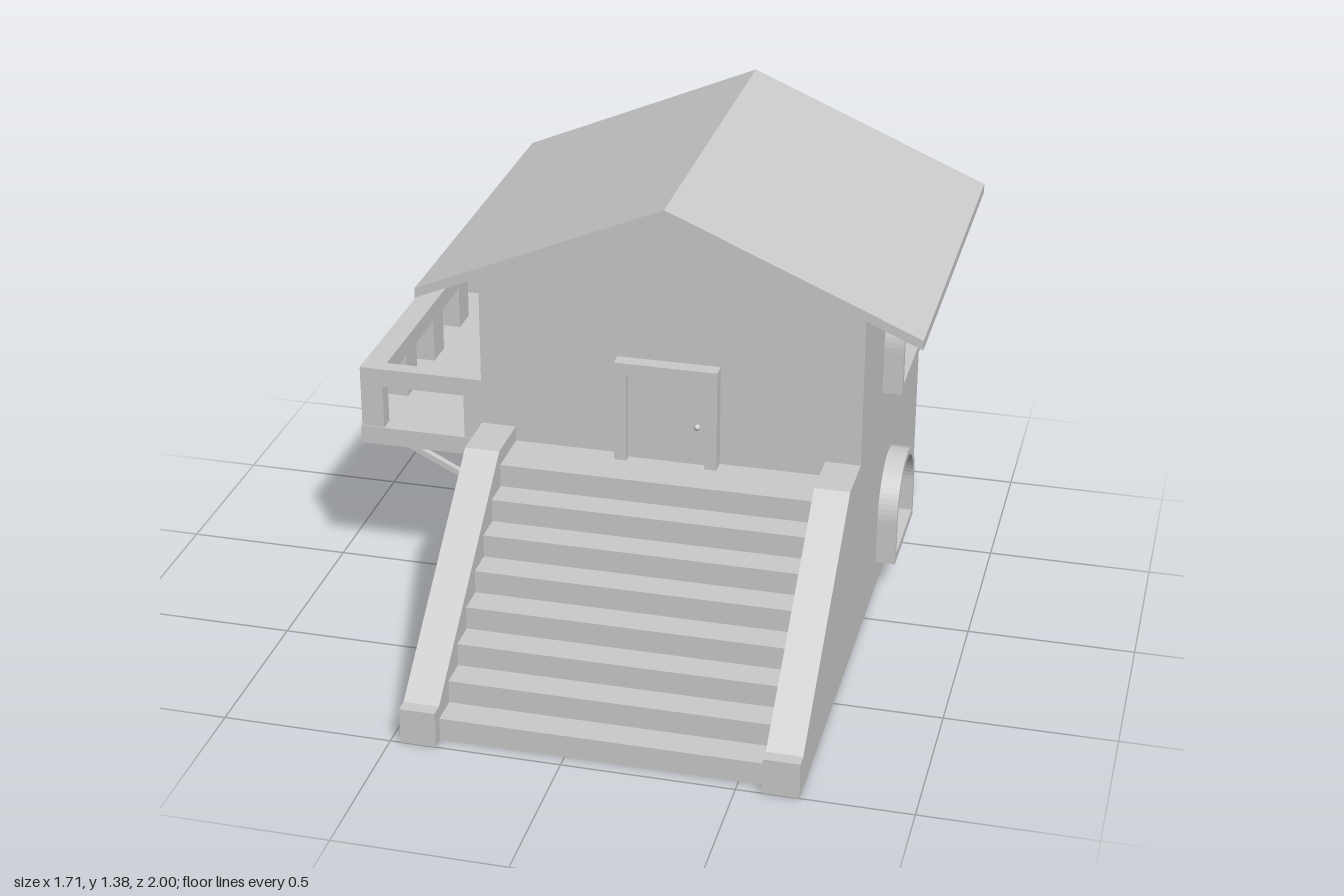
import * as THREE from 'three';

const material = new THREE.MeshStandardMaterial({ color: 0xcccccc, flatShading: true });
const smooth = new THREE.MeshStandardMaterial({ color: 0xcccccc });

function add(parent, name, geometry, x = 0, y = 0, z = 0, mat = material) {
  const mesh = new THREE.Mesh(geometry, mat);
  mesh.name = name;
  mesh.position.set(x, y, z);
  parent.add(mesh);
  return mesh;
}

// Box given by its limits on each axis
function box(parent, name, [x0, x1], [y0, y1], [z0, z1]) {
  return add(parent, name, new THREE.BoxGeometry(x1 - x0, y1 - y0, z1 - z0),
    (x0 + x1) / 2, (y0 + y1) / 2, (z0 + z1) / 2);
}

const polygon = (pts) => new THREE.Shape(pts.map(([x, y]) => new THREE.Vector2(x, y)));
const extrude = (shape, depth) =>
  new THREE.ExtrudeGeometry(shape, { depth, bevelEnabled: false, curveSegments: 16 });

// Profile drawn in (z, y), extruded across x from x0 to x1
function sideProfile(parent, name, pts, x0, x1) {
  return add(parent, name, extrude(polygon(pts), x1 - x0).rotateY(-Math.PI / 2), x1);
}

// Arched outline standing on y = base
function arch(path, halfWidth, base, spring) {
  path.moveTo(-halfWidth, base);
  path.lineTo(halfWidth, base);
  path.lineTo(halfWidth, spring);
  path.absarc(0, spring, halfWidth, 0, Math.PI, false);
  path.lineTo(-halfWidth, base);
  return path;
}

function makeWindow(name) {
  const g = new THREE.Group();
  g.name = name;
  const frame = arch(new THREE.Shape(), 0.17, 0, 0.135);
  frame.holes.push(arch(new THREE.Path(), 0.147, 0.027, 0.135));
  add(g, 'windowFrame', extrude(frame, 0.06));
  add(g, 'windowPane', extrude(arch(new THREE.Shape(), 0.15, 0.024, 0.135), 0.015));
  return g;
}

function makeDoor(name) {
  const g = new THREE.Group();
  g.name = name;
  const frame = polygon([[-0.155, 0], [-0.118, 0], [-0.118, 0.278], [0.118, 0.278],
    [0.118, 0], [0.155, 0], [0.155, 0.315], [-0.155, 0.315]]);
  add(g, 'doorFrame', extrude(frame, 0.046));
  box(g, 'doorPanel', [-0.12, 0.12], [0, 0.28], [0, 0.02]);
  add(g, 'doorKnob', new THREE.SphereGeometry(0.01, 16, 12), 0.092, 0.125, 0.027, smooth);
  return g;
}

export function createModel() {
  const model = new THREE.Group();
  model.name = 'house';

  // Gabled body
  add(model, 'walls', extrude(polygon([[-0.47, 0], [0.68, 0], [0.68, 1.1],
    [0.105, 1.345], [-0.47, 1.1]]), 1.095), 0, 0, -0.93);

  // Overhanging roof
  add(model, 'roof', extrude(polygon([[-0.645, 1.025], [0.105, 1.345], [0.855, 1.025],
    [0.855, 1.055], [0.105, 1.375], [-0.645, 1.055]]), 1.23), 0, 0, -1);

  // Front staircase with landing
  const steps = [[0.165, 0], [0.96, 0]];
  for (let i = 0; i < 8; i++) {
    const z = 0.96 - 0.09 * i, y = 0.07 * (i + 1);
    if (i > 0) steps.push([z, y - 0.07]);
    steps.push([z, y]);
  }
  steps.push([0.165, 0.56]);
  sideProfile(model, 'frontSteps', steps, -0.365, 0.575);

  // Sloping walls beside the stairs
  const slope = [[0.165, 0], [1, 0], [1, 0.11], [0.96, 0.11], [0.335, 0.607], [0.165, 0.607]];
  sideProfile(model, 'rightStairWall', slope, -0.47, -0.365);
  sideProfile(model, 'leftStairWall', slope, 0.575, 0.68);

  // Doors and windows: position and facing angle
  const place = (part, x, y, z, turn) => {
    part.position.set(x, y, z);
    part.rotation.y = turn;
    model.add(part);
  };
  const H = Math.PI / 2;
  place(makeDoor('frontDoor'), 0.105, 0.56, 0.165, 0);
  place(makeDoor('backDoor'), 0.105, 0.003, -0.93, Math.PI);
  place(makeDoor('balconyDoor'), -0.47, 0.545, -0.36, -H);
  place(makeWindow('leftUpperWindow'), 0.68, 0.675, -0.36, H);
  place(makeWindow('leftLowerWindow'), 0.68, 0.092, -0.36, H);
  place(makeWindow('rightLowerWindow'), -0.47, 0.092, -0.36, -H);
  place(makeWindow('backWindow'), 0.105, 0.675, -0.93, Math.PI);

  // Balcony floor and U-shaped top rail
  const balcony = new THREE.Group();
  balcony.name = 'balcony';
  model.add(balcony);
  box(balcony, 'balconyFloor', [-0.858, -0.47], [0.49, 0.547], [-0.932, 0.158]);
  const rail = polygon([[-0.47, -0.155], [-0.47, -0.108], [-0.785, -0.108], [-0.785, 0.878],
    [-0.47, 0.878], [-0.47, 0.928], [-0.855, 0.928], [-0.855, -0.155]]);
  add(balcony, 'topRail', extrude(rail, 0.057).rotateX(-Math.PI / 2), 0, 0.685, 0);

  // Balcony posts: corners, wall ends and three between
  const postY = [0.547, 0.685];
  for (const z of [[-0.928, -0.878], [0.108, 0.155]]) {
    box(balcony, 'cornerPost', [-0.855, -0.785], postY, z);
    box(balcony, 'wallPost', [-0.53, -0.47], postY, z);
  }
  for (let i = 0; i < 3; i++) {
    const z = -0.385 + (i - 1) * 0.266;
    box(balcony, 'middlePost', [-0.855, -0.785], postY, [z - 0.048, z + 0.048]);
  }

  // Diagonal struts under the balcony
  const strut = polygon([[-0.835, 0.49], [-0.47, 0.308], [-0.47, 0.328], [-0.795, 0.49]]);
  for (const z of [-0.84, 0.05]) add(balcony, 'strut', extrude(strut, 0.02), 0, 0, z);

  return model;
}
